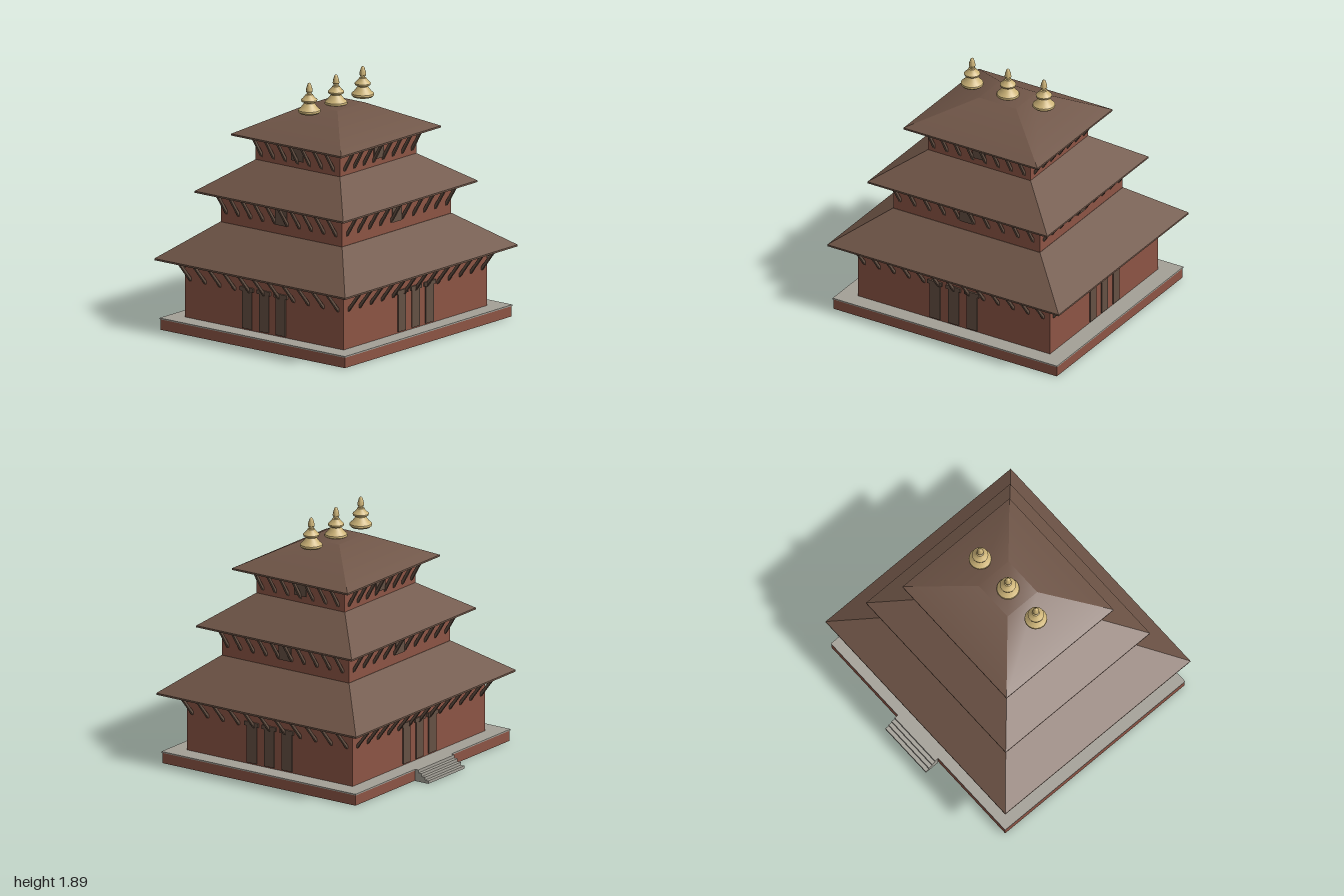
import * as THREE from 'three';
import { toCreasedNormals } from 'three/addons/utils/BufferGeometryUtils.js';

const material = (name, color) => {
  const m = new THREE.MeshStandardMaterial({ color });
  m.name = name;
  return m;
};
const brick = material('brick', 0x8c5444);
const roofBrown = material('roof brown', 0x6f5547);
const timber = material('timber', 0x645043);
const stone = material('stone', 0xa3a097);
const gold = material('gold', 0xcdb478);

// Each tier: wall half sizes, wall base, eave height and half sizes, roof top and half sizes
const tiers = [
  { wall: [0.752, 0.83], base: 0.09, eave: 0.53, eaveHalf: [0.905, 1.0], top: 0.803, topHalf: [0.578, 0.635],
    struts: [[11, 0.7], [13, 0.772]], openings: [-0.16, 0, 0.16], sill: 0.1, head: 0.415, width: 0.09, lintel: 0.125 },
  { wall: [0.575, 0.633], base: 0.8, eave: 1.03, eaveHalf: [0.705, 0.777], top: 1.267, topHalf: [0.4, 0.443],
    struts: [[10, 0.52], [10, 0.574]], openings: [0], sill: 0.87, head: 1.02, width: 0.11, lintel: 0.15 },
  { wall: [0.4, 0.443], base: 1.265, eave: 1.455, eaveHalf: [0.523, 0.579], top: 1.667, topHalf: [0.145, 0.16],
    struts: [[7, 0.342], [8, 0.39]], openings: [0], sill: 1.32, head: 1.45, width: 0.11, lintel: 0.15 },
];

function add(parent, name, geometry, mat, x = 0, y = 0, z = 0) {
  const mesh = new THREE.Mesh(geometry, mat);
  mesh.name = name;
  mesh.position.set(x, y, z);
  parent.add(mesh);
  return mesh;
}

// Box given by its bottom height
function block(parent, name, mat, w, h, d, x, y, z) {
  return add(parent, name, new THREE.BoxGeometry(w, h, d), mat, x, y + h / 2, z);
}

// Hipped roof: a thin upright eave, then four slopes rising to a flat top
function roofGeometry({ eave, eaveHalf, top, topHalf }) {
  const geo = new THREE.BoxGeometry(2, 2, 2, 1, 2, 1);
  const p = geo.attributes.position;
  for (let i = 0; i < p.count; i++) {
    const level = Math.round(p.getY(i)) + 1;
    const half = level === 2 ? topHalf : eaveHalf;
    p.setXYZ(i, p.getX(i) * half[0], [eave, eave + 0.013, top][level], p.getZ(i) * half[1]);
  }
  return toCreasedNormals(geo, 0.55);
}

// Slanted struts along one side, from the wall out to the eave
function addStruts(side, tier, count, span, wall, eave) {
  const low = tier.eave - 0.148, out = eave - wall - 0.04, rise = tier.eave - low;
  const geo = new THREE.BoxGeometry(0.018, Math.hypot(out, rise) + 0.01, 0.02);
  for (let i = 0; i < count; i++) {
    const x = -span + (2 * span * i) / (count - 1);
    const strut = add(side, 'roofStrut', geo, timber, x, (low + tier.eave) / 2, wall + out / 2);
    strut.rotation.x = Math.atan2(out, rise);
  }
}

function addTier(parent, tier, index) {
  const group = new THREE.Group();
  group.name = `tier${index + 1}`;
  parent.add(group);
  block(group, 'wall', brick, tier.wall[0] * 2, tier.eave - tier.base, tier.wall[1] * 2, 0, tier.base, 0);
  add(group, 'roof', roofGeometry(tier), roofBrown);

  for (let i = 0; i < 4; i++) {
    const side = new THREE.Group();
    side.name = 'wallSide';
    side.rotation.y = (i * Math.PI) / 2;
    group.add(side);
    const along = i % 2, across = 1 - along;
    const wall = tier.wall[across];
    addStruts(side, tier, ...tier.struts[along], wall, tier.eaveHalf[across]);
    // Doors or windows, each under a wider lintel
    for (const x of tier.openings) {
      const name = index === 0 ? 'door' : 'window';
      const split = tier.head - 0.03;
      block(side, name, timber, tier.width, split - tier.sill, 0.009, x, tier.sill, wall + 0.004);
      block(side, name + 'Lintel', timber, tier.lintel, 0.03, 0.016, x, split, wall + 0.006);
    }
  }
}

// Bell-shaped finial turned from a profile
function finialGeometry() {
  const profile = [
    [0, 0], [0.072, 0], [0.084, 0.012], [0.082, 0.026], [0.064, 0.042], [0.046, 0.066], [0.038, 0.078],
    [0.04, 0.084], [0.058, 0.09], [0.06, 0.102], [0.046, 0.116], [0.03, 0.134], [0.027, 0.142],
    [0.018, 0.146], [0.018, 0.154], [0.025, 0.166], [0.022, 0.19], [0.012, 0.222], [0, 0.232],
  ].map(([r, y]) => new THREE.Vector2(r, y));
  return toCreasedNormals(new THREE.LatheGeometry(profile, 24), 0.6);
}

export function createModel() {
  const model = new THREE.Group();
  model.name = 'tieredTemple';

  // The temple sits slightly off centre to leave room for the steps
  const temple = new THREE.Group();
  temple.name = 'temple';
  temple.position.x = 0.045;
  model.add(temple);

  block(temple, 'plinth', brick, 1.75, 0.08, 1.93, 0, 0, 0);
  block(temple, 'plinthPaving', stone, 1.76, 0.01, 1.94, 0, 0.08, 0);
  tiers.forEach((tier, i) => addTier(temple, tier, i));

  const finial = finialGeometry();
  for (const z of [-0.31, 0, 0.31]) add(temple, 'finial', finial, gold, 0, 1.658, z);

  // Steps up to the plinth
  for (let i = 0; i < 4; i++) {
    const x0 = -0.955 + i * 0.03;
    block(model, 'step', stone, 0.03, 0.0225 * (i + 1), 0.45, x0 + 0.015, 0, 0);
  }
  return model;
}
